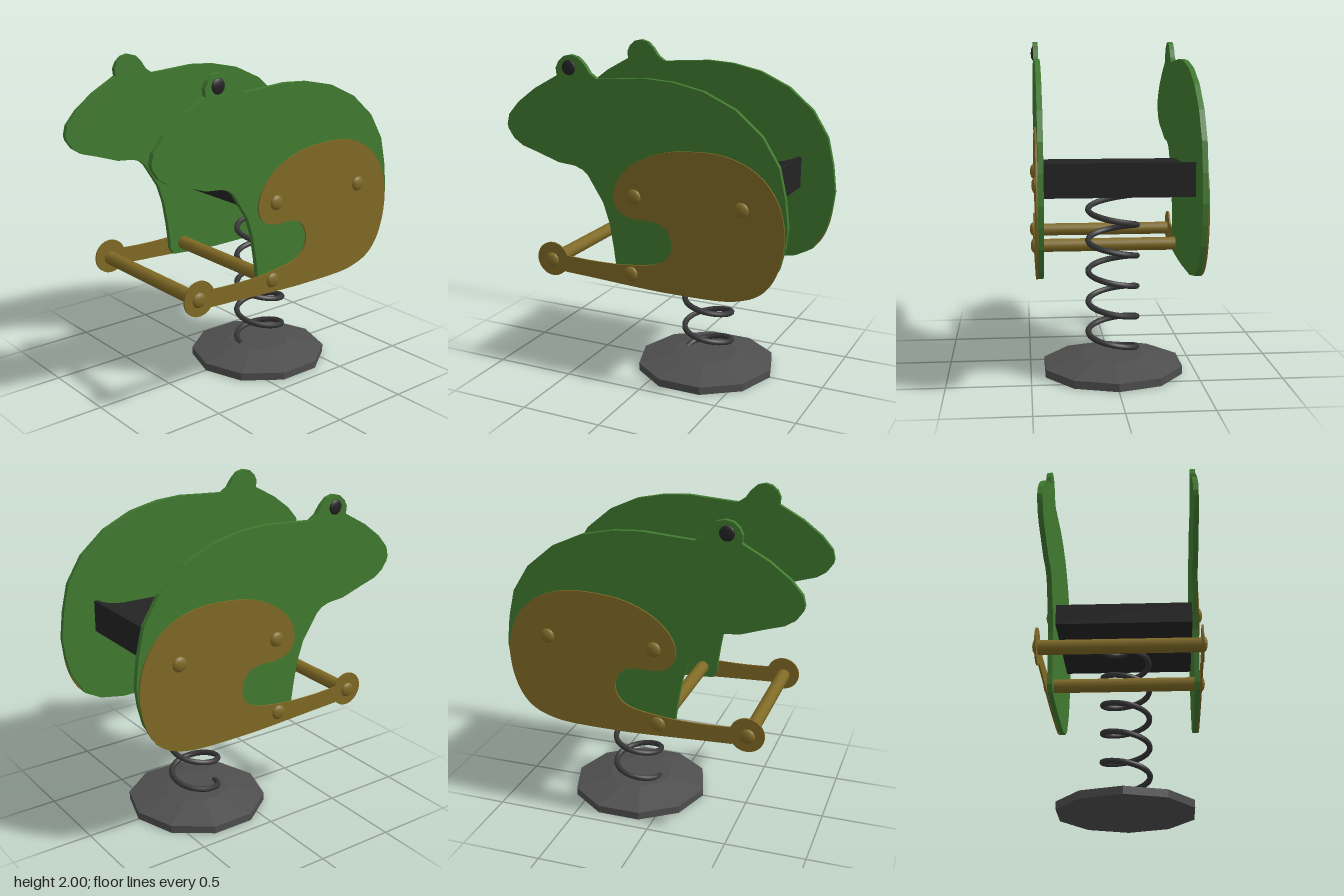
import * as THREE from 'three';

const mat = (name, color) => {
  const m = new THREE.MeshStandardMaterial({ color });
  m.name = name;
  return m;
};

export function createModel() {
  const group = new THREE.Group();
  const green = mat('green', 0x417a30);
  const brown = mat('brown', 0x806a25);
  const black = mat('black', 0x232323);
  const springGrey = mat('springGrey', 0x363638);
  const baseGrey = mat('baseGrey', 0x4e4e4e);

  const add = (name, geometry, material) => {
    const mesh = new THREE.Mesh(geometry, material);
    mesh.name = name;
    group.add(mesh);
    return mesh;
  };
  const vecs = (pts) => pts.map(([z, y]) => new THREE.Vector2(z, y));

  // Extrudes a (z, y) outline sideways so that it is centred on the given x
  const sheet = (shape, thickness, x) => {
    const g = new THREE.ExtrudeGeometry(shape, { depth: thickness, bevelEnabled: false, curveSegments: 60 });
    return g.rotateY(-Math.PI / 2).translate(x + thickness / 2, 0, 0);
  };

  // Flattened dome on the outer side of a panel
  const dome = (name, s, x, y, z, r, h, material) => {
    const m = add(name, new THREE.SphereGeometry(r, 16, 6, 0, Math.PI * 2, 0, Math.PI / 2), material);
    m.position.set(s * x, y, z);
    m.rotation.z = -s * Math.PI / 2;
    m.scale.y = h / r;
  };

  // Animal silhouette: snout, eye bump, back, rump, belly, chest, jaw
  const body = new THREE.Shape(vecs([
    [0.905, 1.56], [0.89, 1.62], [0.82, 1.7], [0.7, 1.79], [0.545, 1.875],
    [0.55, 1.92], [0.53, 1.96], [0.495, 1.99], [0.45, 2], [0.4, 1.987], [0.36, 1.95], [0.325, 1.9], [0.28, 1.87],
    [0.13, 1.88], [-0.03, 1.892], [-0.2, 1.882], [-0.39, 1.842], [-0.58, 1.755], [-0.74, 1.62], [-0.84, 1.46],
    [-0.88, 1.29], [-0.9, 1.12], [-0.885, 1], [-0.855, 0.88], [-0.77, 0.735], [-0.66, 0.675], [-0.5, 0.645],
    [-0.2, 0.642], [0, 0.65], [0.14, 0.66], [0.165, 0.7],
    [0.17, 0.77], [0.185, 0.88], [0.21, 1.02], [0.25, 1.14], [0.35, 1.295], [0.385, 1.325], [0.44, 1.345],
    [0.55, 1.355], [0.7, 1.405], [0.8, 1.435], [0.86, 1.475], [0.898, 1.53],
  ]));

  // Hind leg: shin, knee notch, thigh and round foot
  const leg = new THREE.Shape();
  leg.moveTo(0.51, 0.775);
  leg.splineThru(vecs([
    [0.35, 0.768], [0.17, 0.77], [0.04, 0.782], [-0.09, 0.805], [-0.165, 0.845], [-0.2, 0.91], [-0.195, 0.975],
    [-0.165, 1.03], [-0.11, 1.06], [-0.04, 1.067], [0.04, 1.066], [0.11, 1.083], [0.155, 1.12], [0.176, 1.18],
    [0.165, 1.25], [0.125, 1.32], [0.05, 1.39], [-0.06, 1.45], [-0.2, 1.49], [-0.4, 1.505], [-0.55, 1.49],
    [-0.68, 1.44], [-0.78, 1.36], [-0.85, 1.25], [-0.882, 1.13], [-0.885, 1.03], [-0.865, 0.91], [-0.82, 0.8],
    [-0.75, 0.72], [-0.65, 0.672], [-0.5, 0.645], [-0.2, 0.64], [0, 0.645], [0.3, 0.66], [0.52, 0.67],
  ]));
  leg.absarc(0.608, 0.74, 0.106, -2.5, 2.8, false);
  leg.closePath();

  const bolts = [[1.2, 0.04], [1.2, -0.63], [0.725, 0.065], [0.735, 0.612]];
  for (const s of [1, -1]) {
    const side = s > 0 ? 'left' : 'right';
    add(side + 'BodyPanel', sheet(body, 0.031, s * 0.4425), green);
    add(side + 'LegPanel', sheet(leg, 0.01, s * 0.463), brown);
    for (const [y, z] of bolts) dome(side + 'Bolt', s, 0.468, y, z, 0.046, 0.022, brown);
    dome(side + 'Eye', s, 0.458, 1.925, 0.462, 0.045, 0.014, black);
  }

  // Foot rest and cross bar
  for (const [name, y, z] of [['footBar', 0.73, 0.612], ['crossBar', 0.725, 0.065]]) {
    const bar = new THREE.CylinderGeometry(0.042, 0.042, 0.916, 12);
    add(name, bar.rotateZ(Math.PI / 2).translate(0, y, z), brown);
  }

  // Seat with a raised back lip
  const seat = new THREE.Shape(vecs([
    [0.1, 1.13], [0.1, 1.265], [0.08, 1.27], [-0.3, 1.272], [-0.48, 1.276], [-0.56, 1.288], [-0.62, 1.308],
    [-0.65, 1.325], [-0.675, 1.325], [-0.675, 1.13],
  ]));
  add('seat', sheet(seat, 0.856, 0), black);

  // Coil spring
  const turns = 5.5, coil = [];
  for (let i = 0; i <= turns * 16; i++) {
    const a = (i / 16) * Math.PI * 2;
    coil.push(new THREE.Vector3(-0.148 * Math.sin(a), 0.098 + (i / 16) * 0.189, -0.236 + 0.148 * Math.cos(a)));
  }
  add('spring', new THREE.TubeGeometry(new THREE.CatmullRomCurve3(coil), 200, 0.018, 8), springGrey);

  // Ten-sided ground plate
  const profile = vecs([[0, 0], [0.435, 0], [0.435, 0.048], [0.2, 0.103], [0, 0.103]]);
  const base = new THREE.LatheGeometry(profile, 10).toNonIndexed();
  base.computeVertexNormals();
  add('groundPlate', base.translate(0, 0, -0.225), baseGrey);

  return group;
}
